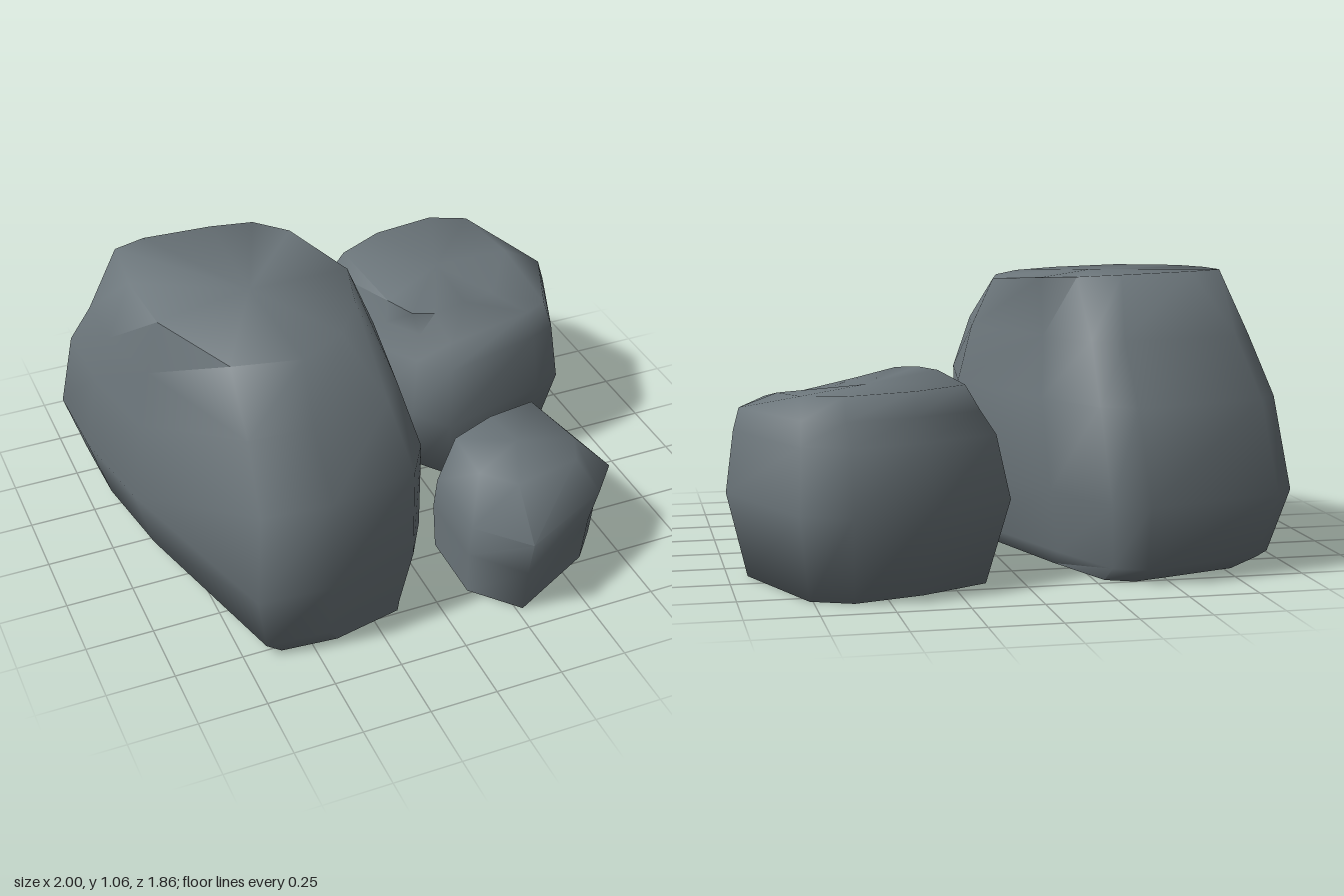
import * as THREE from 'three';
import { toCreasedNormals } from 'three/addons/utils/BufferGeometryUtils.js';

// outline: x,z pairs of the plan, counterclockwise from above
// levels: height, then left, right, back and front limits the outline is fitted to
// crown: x,z pairs of the top edge, one for each outline point
// top: height of the crown and its slope along x and z; dent: x, z, radius and depth of a hollow in it
const large = {
  outline: [-.7, .81, -.43, .83, -.09, .77, 0, .62, .08, .1, -.13, -.48,
    -.27, -.8, -.4, -.85, -.92, -.71, -1, -.62, -.99, -.3, -.92, .08],
  levels: [[0, -.84, -.02, -.75, .79], [.05, -.93, 0, -.8, .8], [.28, -1, .06, -.85, .83],
    [.61, -.96, .07, -.75, .79], [.82, -.91, .02, -.56, .62]],
  crown: [-.65, .45, -.4, .49, -.22, .39, -.1, .22, -.04, 0, -.15, -.3,
    -.26, -.4, -.42, -.42, -.68, -.42, -.8, -.38, -.82, -.15, -.8, .12],
  top: [1.03, -.035, -.035],
  dent: [0, .1, .15, .015],
};
const medium = {
  outline: [.12, -.14, .22, .03, .32, .16, .75, .05, .86, 0, 1, -.37, .8, -.86, .63, -.93, .34, -.85, .05, -.7],
  levels: [[0, .13, .93, -.86, .07], [.3, .05, 1, -.93, .16], [.52, .09, .97, -.85, .11], [.6, .14, .95, -.8, .04]],
  crown: [.21, -.2, .26, -.08, .34, -.05, .5, -.12, .66, -.2, .82, -.42, .77, -.68, .63, -.74, .38, -.7, .19, -.6],
  top: [.685, -.02, .01],
  dent: [.7, -.22, .22, .07],
};
const small = {
  outline: [.13, .74, .29, .92, .65, .73, .76, .6, .61, .24, .35, .2, .13, .43],
  levels: [[0, .13, .7, .24, .9], [.17, .13, .73, .2, .91], [.31, .13, .76, .23, .93]],
  crown: [.19, .67, .3, .77, .58, .68, .64, .55, .6, .28, .39, .35, .2, .45],
  top: [.455, -.12, 0],
  dent: [.62, .28, .1, .01],
};

const toPoints = (list) =>
  Array.from({ length: list.length / 2 }, (_, i) => new THREE.Vector2(list[2 * i], list[2 * i + 1]));

// Skins the fitted outlines and the crown into a closed stone with softly rounded sides
function boulder(name, { outline, levels, crown, top, dent }, material) {
  const plan = toPoints(outline), rim = toPoints(crown);
  const n = plan.length;
  const bounds = new THREE.Box2().setFromPoints(plan);
  const size = bounds.getSize(new THREE.Vector2());
  const positions = [], index = [];

  for (const [y, left, right, back, front] of levels) {
    for (const p of plan) {
      const u = (p.x - bounds.min.x) / size.x, v = (p.y - bounds.min.y) / size.y;
      positions.push(left + u * (right - left), y, back + v * (front - back));
    }
  }

  // sloping, slightly hollowed crown
  const centre = new THREE.Box2().setFromPoints(rim).getCenter(new THREE.Vector2());
  const hollow = new THREE.Vector2(dent[0], dent[1]);
  const crownHeight = (p) => top[0] + top[1] * (p.x - centre.x) + top[2] * (p.y - centre.y)
    - dent[3] * Math.exp(-p.distanceToSquared(hollow) / dent[2] ** 2);
  for (const p of rim) positions.push(p.x, crownHeight(p), p.y);

  // sides
  for (let level = 0; level < levels.length; level++) {
    for (let i = 0; i < n; i++) {
      const a = level * n + i, b = level * n + (i + 1) % n;
      index.push(a, b, b + n, a, b + n, a + n);
    }
  }

  // base and crown faces
  const [, left, right, back, front] = levels[0];
  const last = levels.length * n, base = last + n;
  positions.push((left + right) / 2, 0, (back + front) / 2, centre.x, crownHeight(centre) + .005, centre.y);
  for (let i = 0; i < n; i++) {
    const j = (i + 1) % n;
    index.push(base, j, i, base + 1, last + i, last + j);
  }

  const geometry = new THREE.BufferGeometry();
  geometry.setAttribute('position', new THREE.Float32BufferAttribute(positions, 3));
  geometry.setIndex(index);
  const mesh = new THREE.Mesh(toCreasedNormals(geometry, 1.4), material);
  mesh.name = name;
  return mesh;
}

export function createModel() {
  const stone = new THREE.MeshStandardMaterial({ color: 0x6c767b });
  stone.name = 'stone grey';
  const group = new THREE.Group();
  group.name = 'boulders';
  group.add(
    boulder('largeBoulder', large, stone),
    boulder('mediumBoulder', medium, stone),
    boulder('smallBoulder', small, stone),
  );
  return group;
}
